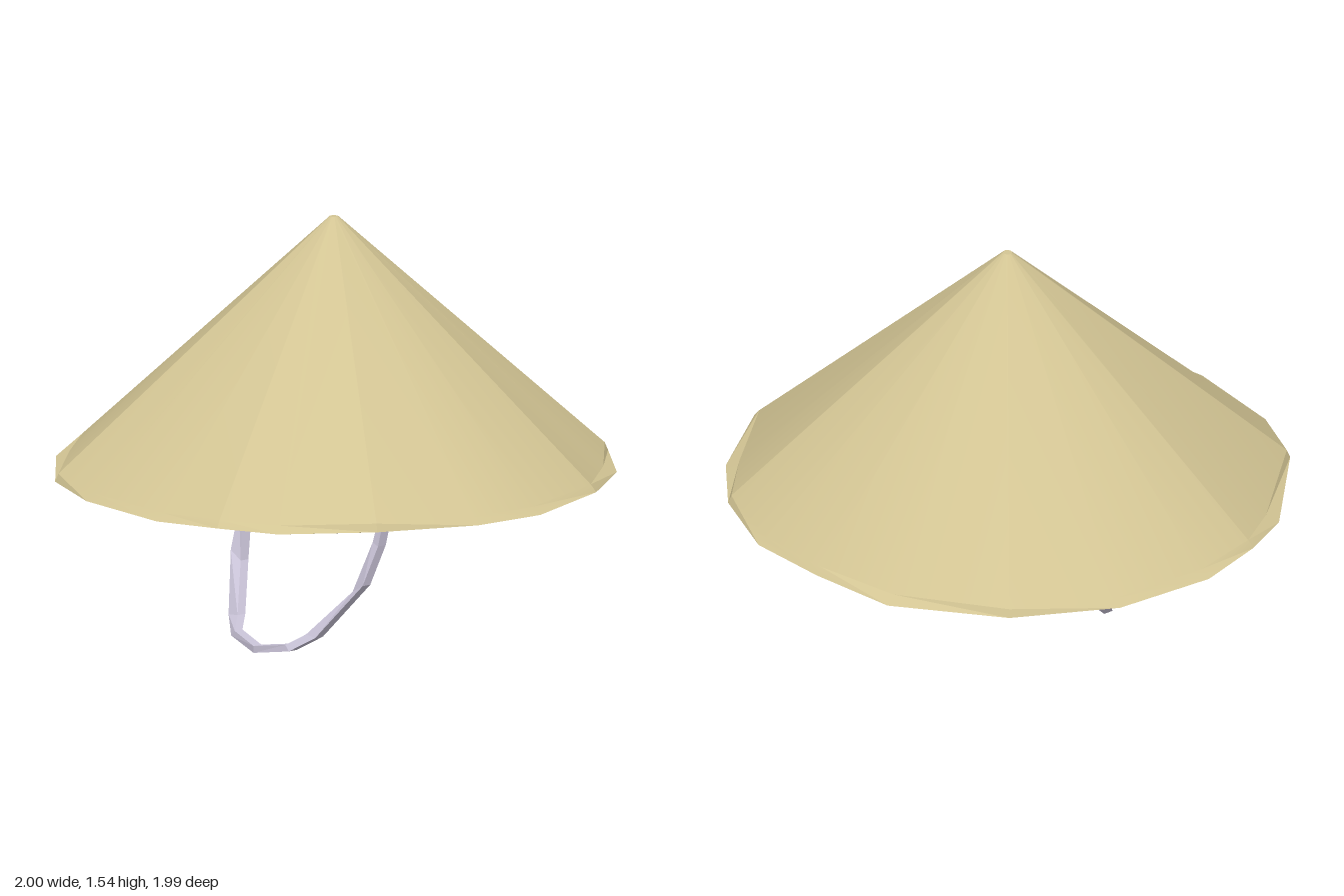
import * as THREE from 'three';
import { toCreasedNormals } from 'three/addons/utils/BufferGeometryUtils.js';

// Skin a list of closed rings (each a list of Vector3) into one surface
function loft(rings, crease) {
  const pos = [];
  const tri = (a, b, c) => {
    const area = b.clone().sub(a).cross(c.clone().sub(a)).length();
    if (area > 1e-8) for (const p of [a, b, c]) pos.push(p.x, p.y, p.z);
  };
  for (let i = 0; i < rings.length - 1; i++) {
    const n = rings[i].length;
    for (let k = 0; k < n; k++) {
      const j = (k + 1) % n;
      tri(rings[i][k], rings[i][j], rings[i + 1][k]);
      tri(rings[i][j], rings[i + 1][j], rings[i + 1][k]);
    }
  }
  const geo = new THREE.BufferGeometry();
  geo.setAttribute('position', new THREE.Float32BufferAttribute(pos, 3));
  geo.computeVertexNormals();
  return crease ? toCreasedNormals(geo, crease) : geo;
}

export function createModel() {
  const straw = new THREE.MeshStandardMaterial({ color: 0xd3c594, side: THREE.DoubleSide });
  straw.name = 'straw';
  const cloth = new THREE.MeshStandardMaterial({ color: 0xc8c2d6, side: THREE.DoubleSide });
  cloth.name = 'lavender cloth';

  const model = new THREE.Group();
  model.name = 'conicalHat';
  const add = (name, geo, mat) => {
    const mesh = new THREE.Mesh(geo, mat);
    mesh.name = name;
    model.add(mesh);
  };

  // Uneven rim outline (x, z), clockwise from the back
  const rim = [
    [0.12, -1], [0.42, -0.92], [0.66, -0.76], [0.88, -0.48], [1, -0.12], [0.99, 0.16],
    [0.86, 0.52], [0.62, 0.78], [0.44, 0.91], [0.2, 0.99], [-0.19, 0.99], [-0.47, 0.9],
    [-0.81, 0.61], [-0.92, 0.42], [-1, 0.17], [-0.99, -0.21], [-0.83, -0.58], [-0.49, -0.87],
    [-0.18, -0.96],
  ];
  const wobble = [0, 1, -1, 0.5, -0.5];
  const rimRing = (y, scale, dy = 0, ds = 0) => rim.map(([x, z], i) => {
    const w = wobble[i % wobble.length], s = scale + ds * w;
    return new THREE.Vector3(x * s, y + dy * w, z * s);
  });

  // Crown: outer cone, rolled lip, underside and inner cone
  add('crown', loft([
    rimRing(1.54, 0), rimRing(1.54, 0.016), rimRing(0.64, 0.97, 0.01, 0.018),
    rimRing(0.615, 1, 0.006), rimRing(0.61, 0.955), rimRing(0.63, 0.94), rimRing(1.49, 0),
  ], 0.3), straw);

  // Head ring inside the crown
  const ring = (r, y) => Array.from({ length: 8 }, (_, k) => {
    const a = (k / 8) * Math.PI * 2 + 0.2;
    return new THREE.Vector3(r * Math.cos(a), y, r * Math.sin(a));
  });
  add('headRing', loft([
    ring(0.45, 0.99), ring(0.45, 0.93), ring(0.41, 0.92), ring(0.41, 0.98), ring(0.45, 0.99),
  ]), straw);

  // Chin strap: half path as [outer x, outer y, inner x, inner y, z], then mirrored
  const half = [
    [0.42, 0.96, 0.4, 0.96, 0.04], [0.4, 0.6, 0.38, 0.6, 0.065], [0.385, 0.42, 0.355, 0.43, 0.1],
    [0.365, 0.28, 0.31, 0.25, 0.155], [0.24, 0.085, 0.19, 0.09, 0.27],
    [0.16, 0.03, 0.14, 0.05, 0.325], [0, 0, 0, 0.025, 0.355],
  ];
  const path = [...half, ...half.slice(0, -1).reverse().map(([a, b, c, d, z]) => [-a, b, -c, d, z])];
  const w = 0.018;
  add('chinStrap', loft(path.map(([ox, oy, ix, iy, z]) => [
    new THREE.Vector3(ox, oy, z - w), new THREE.Vector3(ox, oy, z + w),
    new THREE.Vector3(ix, iy, z + w), new THREE.Vector3(ix, iy, z - w),
  ])), cloth);

  return model;
}
